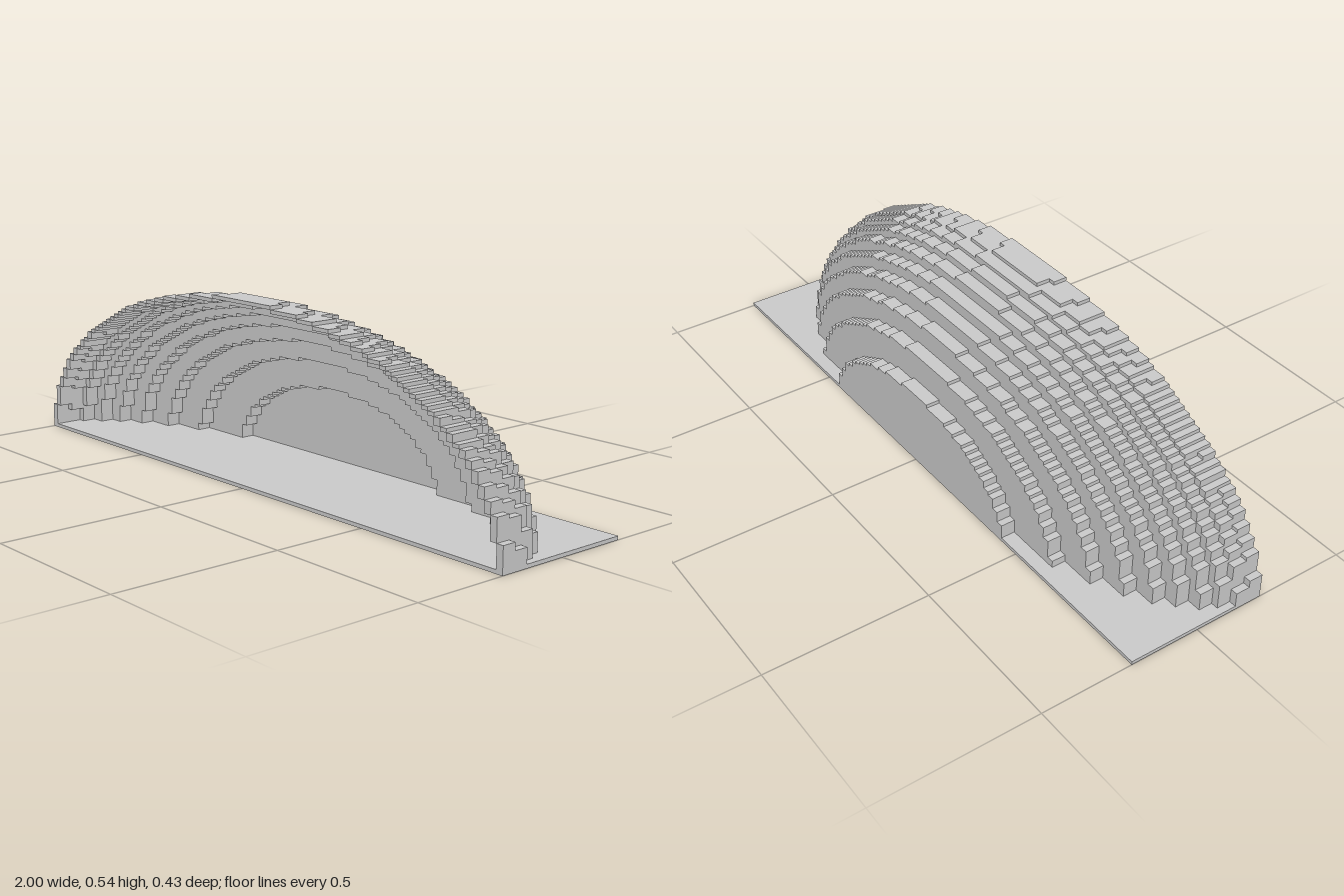
import * as THREE from 'three';

// Grid: 92 cells wide, 50 rows high, 10 stepped layers deep
const HALF = 46, ROWS = 50, LAYERS = 10;
const CELL = 1 / HALF, ROW = CELL / 2, DEPTH = CELL * 2;
const FRONT = DEPTH * LAYERS / 2;

// Height in rows of the quarter-ellipsoid dome at column i of layer k
function domeHeight(k, i) {
  const s = 1 - (k / LAYERS) ** 2 - ((i + 0.5) / HALF) ** 2;
  return s > 0 ? Math.max(1, Math.round(ROWS * Math.sqrt(s))) : 1;
}

// Hollow below the shell: follows the next layer, at least one block thick
function hollowHeight(k, i) {
  if (k === LAYERS - 1) return 1;
  return Math.max(1, Math.min(domeHeight(k + 1, i), domeHeight(k, i) - 1, domeHeight(k, i + 1)));
}

// Mirrored staircase outline, left foot to right foot
function skyline(heightAt) {
  const right = [];
  let prev = heightAt(0);
  for (let i = 1; i <= HALF && prev > 1; i++) {
    const h = i < HALF ? heightAt(i) : 1;
    if (h !== prev) {
      right.push(new THREE.Vector2(i * CELL, prev * ROW), new THREE.Vector2(i * CELL, h * ROW));
      prev = h;
    }
  }
  const left = right.map((p) => new THREE.Vector2(-p.x, p.y)).reverse();
  return [...left, ...right];
}

export function createModel() {
  const group = new THREE.Group();
  const material = new THREE.MeshStandardMaterial({ color: 0xcccccc, flatShading: true });

  // Thin base plate
  const base = new THREE.Mesh(new THREE.BoxGeometry(2, ROW, DEPTH * LAYERS), material);
  base.name = 'basePlate';
  base.position.y = ROW / 2;
  group.add(base);

  // Stepped arches shrinking toward the solid back wall
  for (let k = 0; k < LAYERS; k++) {
    const outer = skyline((i) => domeHeight(k, i));
    const inner = skyline((i) => hollowHeight(k, i)).reverse();
    const shape = new THREE.Shape([...outer, ...inner]);
    const geometry = new THREE.ExtrudeGeometry(shape, { depth: DEPTH, bevelEnabled: false });
    const arch = new THREE.Mesh(geometry, material);
    arch.name = k === LAYERS - 1 ? 'backWall' : `shellArch${k + 1}`;
    arch.position.z = FRONT - (k + 1) * DEPTH;
    group.add(arch);
  }
  return group;
}
